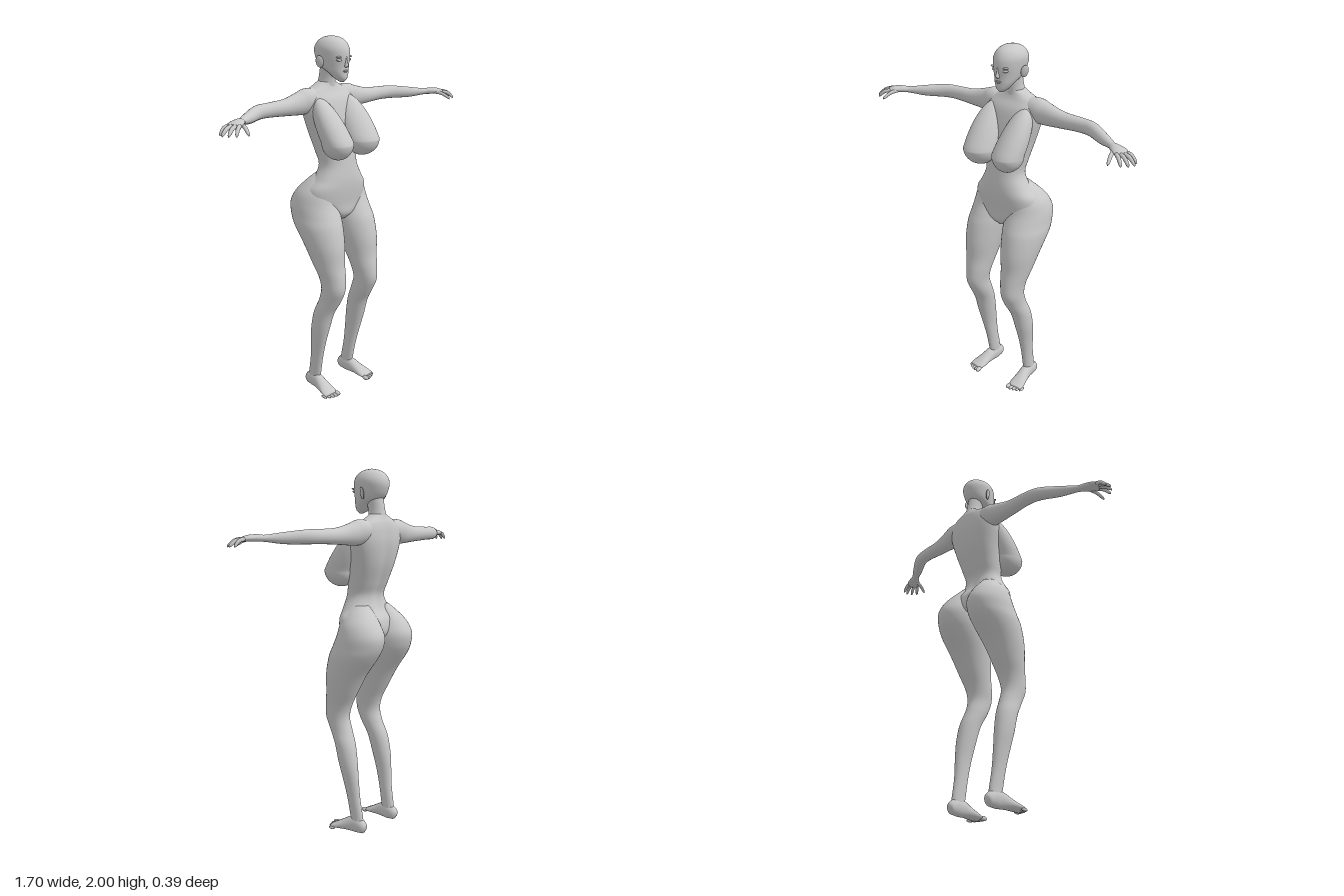
import * as THREE from 'three';

const skin = new THREE.MeshStandardMaterial({ color: 0xc8c8c8 });
skin.name = 'matte grey';
const Y = new THREE.Vector3(0, 1, 0);
const Z = new THREE.Vector3(0, 0, 1);

// Smooth loft through oval sections [x, y, z, radiusU, radiusV].
// upright: level sections (U = x, V = z); otherwise they follow the path (U = level, V = up).
// power below 1 makes the ovals squarer; shape(p) may adjust each point.
function loft(sections, { upright = false, sides = 28, steps = 6, side = 1, power = 1, shape } = {}) {
  const spline = f => new THREE.CatmullRomCurve3(sections.map(f), false, 'catmullrom', 0.5);
  const path = spline(s => new THREE.Vector3(s[0] * side, s[1], s[2]));
  const radii = spline(s => new THREE.Vector3(s[3], s[4], 0));
  const squarer = w => Math.sign(w) * Math.abs(w) ** power;
  const rings = (sections.length - 1) * steps;
  const pos = [], idx = [];
  for (let i = 0; i <= rings; i++) {
    const c = path.getPoint(i / rings), r = radii.getPoint(i / rings);
    const t = upright ? Y : path.getTangent(i / rings);
    const u = new THREE.Vector3().crossVectors(upright ? Z : Y, t).normalize();
    const v = new THREE.Vector3().crossVectors(t, u);
    for (let j = 0; j < sides; j++) {
      const a = j / sides * Math.PI * 2;
      const p = c.clone().addScaledVector(u, squarer(Math.cos(a)) * r.x)
        .addScaledVector(v, squarer(Math.sin(a)) * r.y);
      if (shape) shape(p);
      pos.push(p.x, p.y, p.z);
      if (i < rings) {
        const k = (j + 1) % sides, m = i * sides, q = m + sides;
        idx.push(m + j, m + k, q + j, m + k, q + k, q + j);
      }
    }
  }
  // Closed ends
  const first = pos.length / 3, last = rings * sides;
  const a = path.getPoint(0), b = path.getPoint(1);
  pos.push(a.x, a.y, a.z, b.x, b.y, b.z);
  for (let j = 0; j < sides; j++) {
    const k = (j + 1) % sides;
    idx.push(first, k, j, first + 1, last + j, last + k);
  }
  const g = new THREE.BufferGeometry();
  g.setAttribute('position', new THREE.Float32BufferAttribute(pos, 3));
  g.setIndex(idx);
  g.computeVertexNormals();
  return g;
}

function ellipsoid(x, y, z, rx, ry, rz, segments = 24) {
  return new THREE.SphereGeometry(1, segments, segments).scale(rx, ry, rz).translate(x, y, z);
}

// Rounded chest form: full below, tapering up and back into the torso
function chestForm(side) {
  const g = new THREE.SphereGeometry(1, 36, 28);
  const p = g.attributes.position;
  for (let i = 0; i < p.count; i++) {
    const x = p.getX(i), y = p.getY(i), z = p.getZ(i), up = Math.max(y, 0);
    p.setXYZ(i, side * (0.091 + 0.012 * Math.max(z, 0) + 0.015 * up) + x * 0.087,
      1.465 + y * (y > 0 ? 0.225 : 0.089), 0.1 + z * 0.09 - 0.13 * up);
  }
  g.computeVertexNormals();
  return g;
}

export function createModel() {
  const model = new THREE.Group();
  model.name = 'figure';
  const add = (name, geometry, parent = model) => {
    const m = new THREE.Mesh(geometry, skin);
    m.name = name;
    parent.add(m);
  };

  // Torso, with a shallow groove along the spine
  add('torso', loft([
    [0, 1.025, 0.015, 0.025, 0.04], [0, 1.06, 0.01, 0.09, 0.075], [0, 1.12, -0.02, 0.185, 0.11],
    [0, 1.2, -0.015, 0.193, 0.114], [0, 1.26, 0.005, 0.148, 0.095], [0, 1.33, 0.008, 0.112, 0.084],
    [0, 1.4, -0.01, 0.118, 0.092], [0, 1.5, -0.04, 0.138, 0.098], [0, 1.6, -0.06, 0.163, 0.095],
    [0, 1.67, -0.07, 0.168, 0.083], [0, 1.715, -0.08, 0.138, 0.064], [0, 1.742, -0.08, 0.085, 0.052],
    [0, 1.765, -0.077, 0.04, 0.045],
  ], {
    upright: true, sides: 64, power: 0.88,
    shape: p => {
      if (p.z < -0.03 && p.y > 1.15 && p.y < 1.72)
        p.z += 0.014 * Math.exp(-((p.x / 0.028) ** 2)) * Math.sin((p.y - 1.15) / 0.57 * Math.PI);
    },
  }));
  add('neck', loft([
    [0, 1.69, -0.08, 0.075, 0.058], [0, 1.74, -0.078, 0.05, 0.052],
    [0, 1.79, -0.07, 0.04, 0.049], [0, 1.86, -0.055, 0.042, 0.05],
  ], { upright: true }));

  // Head and face
  const head = new THREE.Group();
  head.name = 'head';
  model.add(head);
  add('skull', loft([
    [0, 1.768, 0.037, 0.01, 0.012], [0, 1.785, 0.028, 0.03, 0.036], [0, 1.815, 0.01, 0.051, 0.056],
    [0, 1.85, -0.022, 0.067, 0.089], [0, 1.9, -0.033, 0.077, 0.105], [0, 1.94, -0.036, 0.079, 0.102],
    [0, 1.973, -0.036, 0.063, 0.081], [0, 1.992, -0.036, 0.037, 0.047], [0, 2, -0.036, 0.004, 0.005],
  ], { upright: true, sides: 40 }), head);
  add('nose', loft([
    [0, 1.843, 0.064, 0.006, 0.006], [0, 1.852, 0.07, 0.011, 0.012],
    [0, 1.87, 0.068, 0.007, 0.009], [0, 1.9, 0.064, 0.006, 0.008],
  ], { upright: true, sides: 14 }), head);
  add('upperLip', ellipsoid(0, 1.826, 0.063, 0.018, 0.005, 0.008, 14), head);
  add('lowerLip', ellipsoid(0, 1.818, 0.061, 0.015, 0.005, 0.008, 14), head);

  for (const side of [1, -1]) {
    const word = side > 0 ? 'left' : 'right';
    const part = (name, geometry, parent) => add(word + name, geometry, parent);
    const limb = (sections, options) => loft(sections, { side, ...options });

    part('Eye', ellipsoid(side * 0.034, 1.882, 0.05, 0.018, 0.008, 0.013, 16), head);
    part('Brow', ellipsoid(side * 0.034, 1.897, 0.053, 0.024, 0.006, 0.011, 16), head);
    part('Ear', ellipsoid(0, 0, 0, 0.008, 0.032, 0.021, 18)
      .rotateY(side * -0.5).rotateZ(side * -0.2).translate(side * 0.084, 1.872, -0.042), head);

    part('ChestForm', chestForm(side));

    // Arm reaching out and forward
    const arm = new THREE.Group();
    arm.name = word + 'Arm';
    model.add(arm);
    part('ArmAndPalm', limb([
      [0.05, 1.69, -0.08, 0.035, 0.03], [0.1, 1.682, -0.08, 0.054, 0.054],
      [0.15, 1.672, -0.08, 0.058, 0.065],
      [0.2, 1.663, -0.08, 0.05, 0.06], [0.3, 1.655, -0.076, 0.04, 0.044],
      [0.42, 1.655, -0.075, 0.035, 0.037], [0.5, 1.655, -0.058, 0.034, 0.036],
      [0.6, 1.65, 0, 0.029, 0.029], [0.68, 1.65, 0.048, 0.021, 0.017],
      [0.71, 1.652, 0.067, 0.027, 0.018], [0.75, 1.651, 0.09, 0.038, 0.016],
      [0.78, 1.645, 0.108, 0.034, 0.011],
    ]), arm);
    // Fingers and thumb: base x, z then tip x, z
    [[0.785, 0.078, 0.838, 0.085], [0.778, 0.097, 0.848, 0.113], [0.768, 0.112, 0.834, 0.143],
      [0.757, 0.127, 0.808, 0.166], [0.72, 0.09, 0.752, 0.185]].forEach(([x, z, tx, tz], i) => {
      part(i < 4 ? 'Finger' + (i + 1) : 'Thumb', limb([
        [x, 1.648, z, 0.01, 0.01], [(x + tx) / 2, 1.641, (z + tz) / 2, 0.0098, 0.0098],
        [x + (tx - x) * 0.9, 1.62, z + (tz - z) * 0.9, 0.0075, 0.0075],
        [tx, 1.61, tz, 0.002, 0.002],
      ], { sides: 12, steps: 4 }), arm);
    });

    // Leg, rising through the buttock and fading into the waist
    const leg = new THREE.Group();
    leg.name = word + 'Leg';
    model.add(leg);
    part('ThighAndShin', limb([
      [0.135, 0.03, -0.055, 0.026, 0.04], [0.135, 0.1, -0.043, 0.025, 0.042],
      [0.138, 0.2, -0.025, 0.028, 0.042], [0.142, 0.3, -0.008, 0.035, 0.05],
      [0.143, 0.4, 0.012, 0.047, 0.058], [0.138, 0.5, 0.037, 0.053, 0.062],
      [0.13, 0.58, 0.075, 0.054, 0.068], [0.13, 0.65, 0.1, 0.057, 0.074],
      [0.128, 0.72, 0.092, 0.066, 0.081], [0.13, 0.8, 0.065, 0.082, 0.096],
      [0.13, 0.9, 0.033, 0.102, 0.121], [0.126, 1, -0.015, 0.118, 0.147],
      [0.12, 1.06, -0.043, 0.119, 0.15], [0.117, 1.12, -0.06, 0.115, 0.14],
      [0.113, 1.18, -0.053, 0.1, 0.117], [0.1, 1.23, -0.038, 0.076, 0.088],
      [0.08, 1.28, -0.02, 0.045, 0.055],
    ], { upright: true, sides: 40 }), leg);

    // Foot and toes
    part('Foot', limb([
      [0.135, 0.032, -0.11, 0.006, 0.01], [0.135, 0.036, -0.098, 0.024, 0.031],
      [0.135, 0.046, -0.06, 0.03, 0.045], [0.138, 0.046, -0.02, 0.031, 0.045],
      [0.145, 0.034, 0.03, 0.037, 0.032], [0.152, 0.021, 0.08, 0.045, 0.019],
      [0.156, 0.014, 0.112, 0.042, 0.011],
    ]), leg);
    for (let i = 0; i < 5; i++) {
      const r = i === 0 ? 0.013 : 0.01 - i * 0.0006;
      part('Toe' + (i + 1), ellipsoid(side * (0.121 + i * 0.019), r, 0.122 - i * i * 0.0018,
        r, r, 0.022, 14), leg);
    }
  }
  return model;
}
